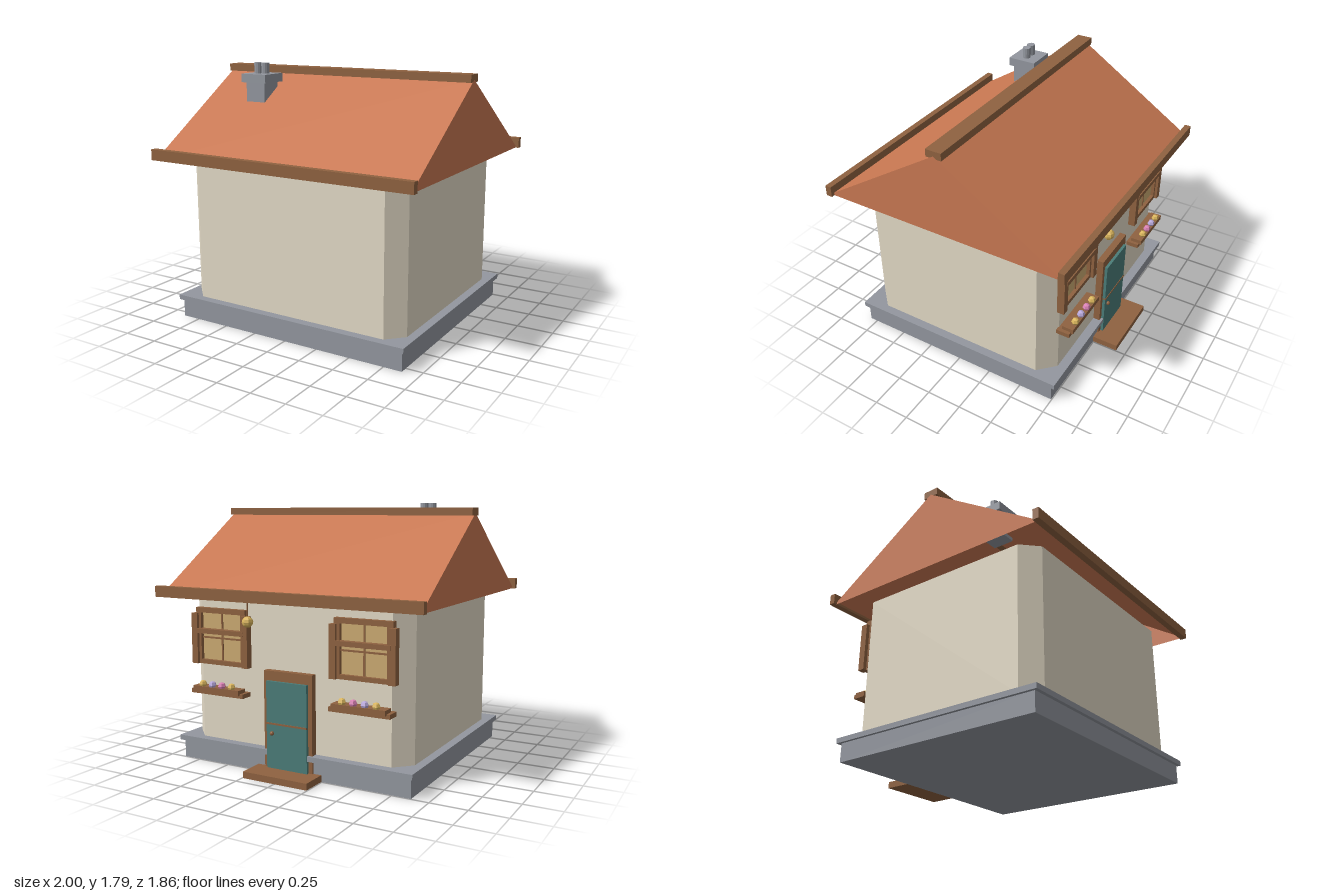
import * as THREE from 'three';

const mat = (color, extra = {}) => new THREE.MeshStandardMaterial({ color, flatShading: true, ...extra });
const M = {
  wall: mat(0xe3dac6), roof: mat(0xc97852, { side: THREE.DoubleSide }), wood: mat(0x8f6240),
  stone: mat(0x93979f), door: mat(0x4b7d79), glass: mat(0xccab72), gold: mat(0xdcb75e),
  lavender: mat(0xb9a9dc), pink: mat(0xd981b4),
};
const CZ = 0.03; // depth centre of the house body

function add(parent, name, geo, material, x = 0, y = 0, z = 0) {
  const m = new THREE.Mesh(geo, material);
  m.name = name;
  m.position.set(x, y, z);
  parent.add(m);
  return m;
}

// box given by its extents on each axis
function box(parent, name, material, [x0, x1], [y0, y1], [z0, z1]) {
  return add(parent, name, new THREE.BoxGeometry(x1 - x0, y1 - y0, z1 - z0), material,
    (x0 + x1) / 2, (y0 + y1) / 2, (z0 + z1) / 2);
}

function group(parent, name, x = 0) {
  const g = new THREE.Group();
  g.name = name;
  g.position.x = x;
  parent.add(g);
  return g;
}

// open gable roof: two slopes and two end triangles
function roofGeometry(hx, hz, y0, y1) {
  const a = [-hx, y0, hz], b = [hx, y0, hz], c = [hx, y0, -hz], d = [-hx, y0, -hz];
  const l = [-hx, y1, 0], r = [hx, y1, 0];
  const tris = [a, b, r, a, r, l, c, d, l, c, l, r, b, c, r, d, a, l];
  const geo = new THREE.BufferGeometry();
  geo.setAttribute('position', new THREE.Float32BufferAttribute(tris.flat(), 3));
  geo.computeVertexNormals();
  return geo;
}

// window, shutters and flower box; side = +1 or -1
function addWindow(house, side) {
  const g = group(house, side > 0 ? 'leftWindow' : 'rightWindow', side * 0.545);
  box(g, 'windowPane', M.glass, [-0.18, 0.18], [0.71, 1.07], [-0.72, -0.7]);
  box(g, 'frameTop', M.wood, [-0.19, 0.19], [1.05, 1.085], [-0.745, -0.7]);
  box(g, 'frameBottom', M.wood, [-0.19, 0.19], [0.695, 0.725], [-0.745, -0.7]);
  box(g, 'middleBar', M.wood, [-0.006, 0.006], [0.72, 1.06], [-0.727, -0.7]);
  box(g, 'lowerBar', M.wood, [-0.18, 0.18], [0.872, 0.884], [-0.727, -0.7]);
  box(g, 'crossBar', M.wood, [-0.2, 0.2], [0.91, 0.942], [-0.77, -0.725]);
  for (const s of [-1, 1]) {
    const post = box(g, 'framePost', M.wood, [-0.02, 0.02], [0.695, 1.085], [-0.745, -0.7]);
    post.position.x = s * 0.185;
    const shutter = box(g, 'shutter', M.wood, [-0.024, 0.024], [0.695, 1.045], [-0.765, -0.715]);
    shutter.position.x = s * 0.208;
  }

  box(g, 'flowerShelf', M.wood, [-0.215, 0.215], [0.495, 0.525], [-0.8, -0.705]);
  box(g, 'flowerBox', M.wood, [-0.19, 0.19], [0.515, 0.55], [-0.815, -0.735]);
  [M.gold, M.lavender, M.pink, M.gold].forEach((m, i) =>
    add(g, 'flower', new THREE.SphereGeometry(0.028, 6, 4), m, side * (0.12 - i * 0.08), 0.563, -0.795));
}

export function createModel() {
  const house = new THREE.Group();
  house.name = 'cottage';

  // stone base
  box(house, 'foundation', M.stone, [-0.88, 0.88], [0, 0.13], [-0.745, 0.805]);
  box(house, 'foundationSlab', M.stone, [-0.9, 0.9], [0.13, 0.165], [-0.775, 0.83]);

  // walls with chamfered corners
  const X = 0.84, Z = 0.74, C = 0.11;
  const plan = new THREE.Shape([
    [X - C, -Z], [X, C - Z], [X, Z - C], [X - C, Z], [C - X, Z], [-X, Z - C], [-X, C - Z], [C - X, -Z],
  ].map(([x, y]) => new THREE.Vector2(x, y)));
  const wallGeo = new THREE.ExtrudeGeometry(plan, { depth: 0.995, bevelEnabled: false }).rotateX(-Math.PI / 2);
  add(house, 'walls', wallGeo, M.wall, 0, 0.16, CZ);

  // roof, ridge beam and eave beams
  add(house, 'roof', roofGeometry(0.975, 0.885, 1.155, 1.727), M.roof, 0, 0, CZ);
  box(house, 'ridgeBeam', M.wood, [-0.975, 0.975], [1.71, 1.762], [-0.028, 0.085]);
  box(house, 'frontEaveBeam', M.wood, [-1, 1], [1.155, 1.23], [0.885, 0.93]);
  box(house, 'backEaveBeam', M.wood, [-1, 1], [1.155, 1.23], [-0.872, -0.828]);

  // chimney
  const chimney = group(house, 'chimney', -0.541);
  box(chimney, 'chimneyShaft', M.stone, [-0.078, 0.078], [1.5, 1.67], [0.188, 0.345]);
  box(chimney, 'chimneyCap', M.stone, [-0.104, 0.104], [1.66, 1.72], [0.163, 0.368]);
  for (const s of [-1, 1])
    add(chimney, 'chimneyPot', new THREE.CylinderGeometry(0.029, 0.029, 0.08, 12), M.stone, s * 0.031, 1.755, 0.265);

  // door, frame and step
  const door = group(house, 'door');
  box(door, 'doorPanel', M.door, [-0.155, 0.155], [0.045, 0.635], [-0.777, -0.7]);
  box(door, 'doorLintel', M.wood, [-0.185, 0.185], [0.635, 0.7], [-0.757, -0.7]);
  for (const s of [-1, 1]) {
    const post = box(door, 'doorPost', M.wood, [-0.015, 0.015], [0.04, 0.64], [-0.757, -0.7]);
    post.position.x = s * 0.17;
  }
  box(door, 'doorStrip', M.wood, [-0.155, 0.155], [0.344, 0.356], [-0.781, -0.75]);
  add(door, 'doorKnob', new THREE.SphereGeometry(0.015, 8, 6), M.wood, 0.11, 0.285, -0.783);
  box(door, 'doorStep', M.wood, [-0.245, 0.245], [0, 0.045], [-0.93, -0.745]);

  // windows on either side of the door
  for (const s of [1, -1]) addWindow(house, s);

  // hanging lantern
  const lantern = group(house, 'lantern', 0.268);
  add(lantern, 'lanternRod', new THREE.CylinderGeometry(0.005, 0.005, 0.13, 6), M.wood, 0, 1.12, -0.815);
  add(lantern, 'lanternGlobe', new THREE.SphereGeometry(0.038, 8, 6), M.gold, 0, 1.022, -0.815);

  return house;
}
